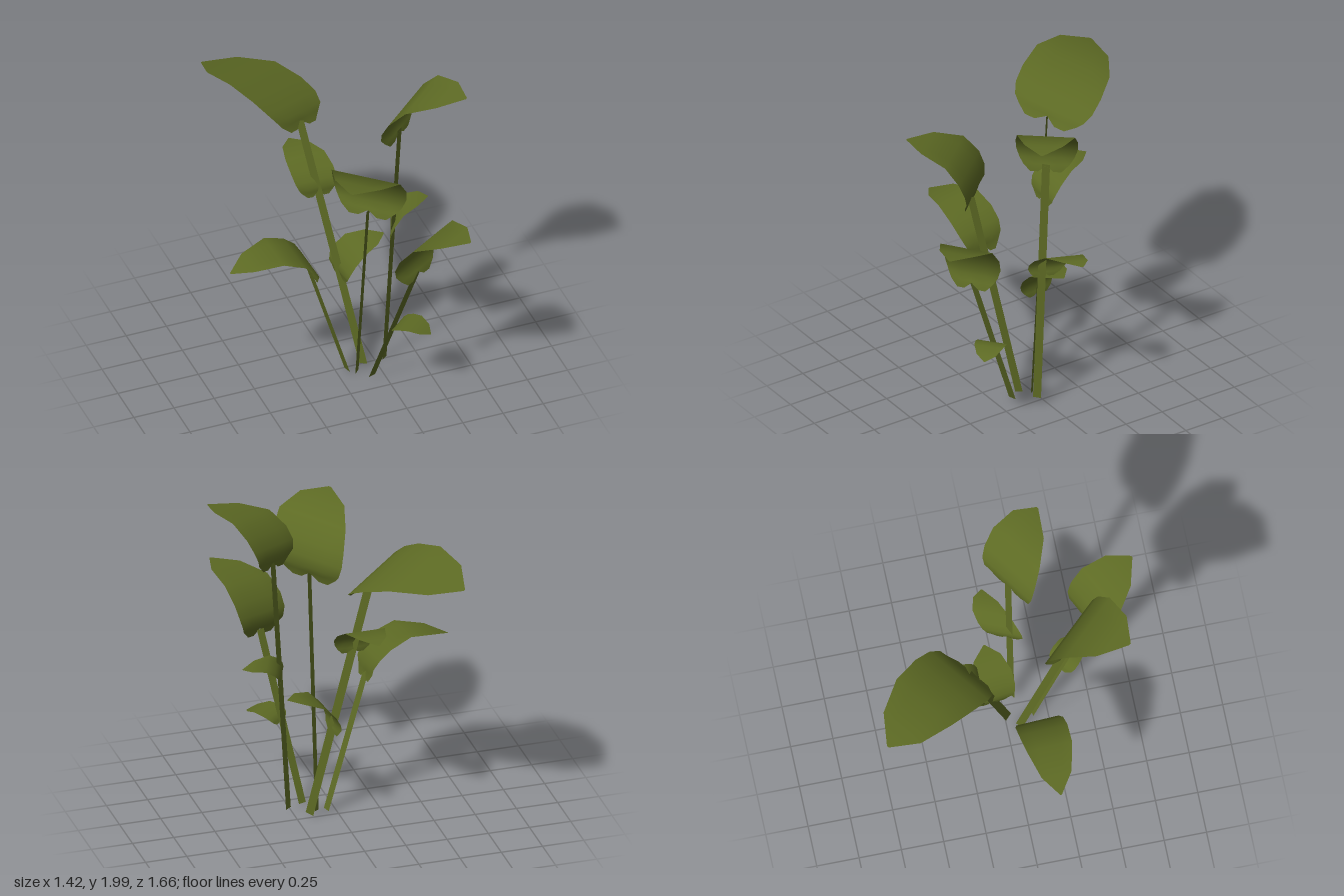
import * as THREE from 'three';

const V = (a) => new THREE.Vector3(...a);

// Leaf rows: distance along the chord, rise above it, relative half-width
const ROWS = [
  [-0.05, -0.06, 0.5], [0, 0.02, 0.74], [0.03, 0.1, 0.88], [0.12, 0.18, 0.98], [0.28, 0.25, 1],
  [0.54, 0.28, 0.93], [0.82, 0.14, 0.62], [1, 0, 0.03],
];
const COLS = [-1, -0.5, 0, 0.5, 1];

// Arched blade from base to tip; side is the half-width vector
function leafGeometry(base, tip, side, bulge) {
  const b = V(base), chord = V(tip).sub(b), w = V(side);
  const up = new THREE.Vector3().crossVectors(w, chord).normalize();
  if (up.y < 0) up.negate();
  const len = chord.length(), pos = [], index = [];
  ROWS.forEach(([a, h, hw], i) => COLS.forEach((c) => {
    const notch = i === 0 && c === 0; // heart-shaped base
    const p = b.clone()
      .addScaledVector(chord, notch ? 0 : a)
      .addScaledVector(up, notch ? 0 : h * len * bulge)
      .addScaledVector(w, hw * c);
    pos.push(p.x, p.y, p.z);
  }));
  const n = COLS.length;
  // Wind so the upper face is the front
  const flip = new THREE.Vector3().crossVectors(w, chord).y < 0;
  for (let i = 0; i < ROWS.length - 1; i++) {
    for (let j = 0; j < n - 1; j++) {
      const p = i * n + j, q = p + 1, r = p + n, s = r + 1;
      index.push(...(flip ? [p, r, q, q, r, s] : [p, q, r, q, s, r]));
    }
  }
  return makeGeometry(pos, index);
}

// Flat ribbon stem
function stemGeometry(bottom, top, width) {
  const w = V(width).multiplyScalar(0.5), pos = [];
  for (const end of [V(bottom), V(top)]) {
    for (const s of [-1, 1]) pos.push(...end.clone().addScaledVector(w, s).toArray());
  }
  return makeGeometry(pos, [0, 1, 2, 1, 3, 2]);
}

function makeGeometry(pos, index) {
  const g = new THREE.BufferGeometry();
  g.setAttribute('position', new THREE.Float32BufferAttribute(pos, 3));
  g.setIndex(index);
  g.computeVertexNormals();
  return g;
}

// name, base, tip, half-width vector, bulge
const LEAVES = [
  ['backLeaf', [-0.11, 1.65, -0.27], [-0.5, 1.79, -0.83], [0.205, -0.06, -0.135], 0.58],
  ['tallLeaf', [0.38, 1.67, 0.06], [0.7, 1.98, 0.3], [0.155, 0.03, -0.115], 1],
  ['frontLeaf', [0.06, 1.4, 0.37], [-0.16, 1.78, 0.67], [0.16, 0.02, 0.175], 1],
  ['frontLeftLeaf', [0.31, 1.0, 0.53], [0.52, 1.35, 0.82], [0.165, 0.02, -0.085], 1],
  ['rightLeaf', [-0.2, 0.85, 0.11], [-0.71, 1.0, 0.15], [0.01, -0.01, 0.145], 1],
  ['smallBackLeaf', [-0.03, 1.17, -0.19], [-0.08, 1.34, -0.52], [0.13, 0, 0], 0.9],
  ['smallInnerLeaf', [0.07, 0.62, -0.09], [0.34, 0.84, -0.09], [0.015, 0, 0.13], 0.9],
  ['smallLeftLeaf', [0.34, 0.92, 0.04], [0.6, 1.06, -0.05], [-0.045, 0, 0.11], 0.9],
  ['lowLeaf', [0.25, 0.49, 0.34], [0.4, 0.5, 0.5], [0.07, 0, -0.06], 0.8],
];

// name, bottom, top, full width vector
const STEMS = [
  ['backStem', [0.17, 0.02, 0.02], [-0.11, 1.65, -0.27], [0.035, 0.012, 0.036]],
  ['tallStem', [0.285, 0.055, 0.06], [0.38, 1.68, 0.06], [0.038, 0, -0.03]],
  ['frontStem', [0.11, 0.01, 0.07], [0.06, 1.4, 0.37], [0.032, 0.007, -0.03]],
  ['frontLeftStem', [0.17, 0.025, 0.155], [0.31, 1.0, 0.52], [0.046, 0, -0.016]],
  ['rightStem', [0.06, 0.02, 0.045], [-0.2, 0.85, 0.11], [0.014, 0, 0.05]],
];

export function createModel() {
  const group = new THREE.Group();
  group.name = 'leafyPlant';
  const green = new THREE.MeshStandardMaterial({ color: 0x5d6a24, side: THREE.DoubleSide });
  green.name = 'olive green';
  const add = (name, geometry) => {
    const mesh = new THREE.Mesh(geometry, green);
    mesh.name = name;
    group.add(mesh);
  };
  for (const [name, ...args] of STEMS) add(name, stemGeometry(...args));
  for (const [name, ...args] of LEAVES) add(name, leafGeometry(...args));
  return group;
}
